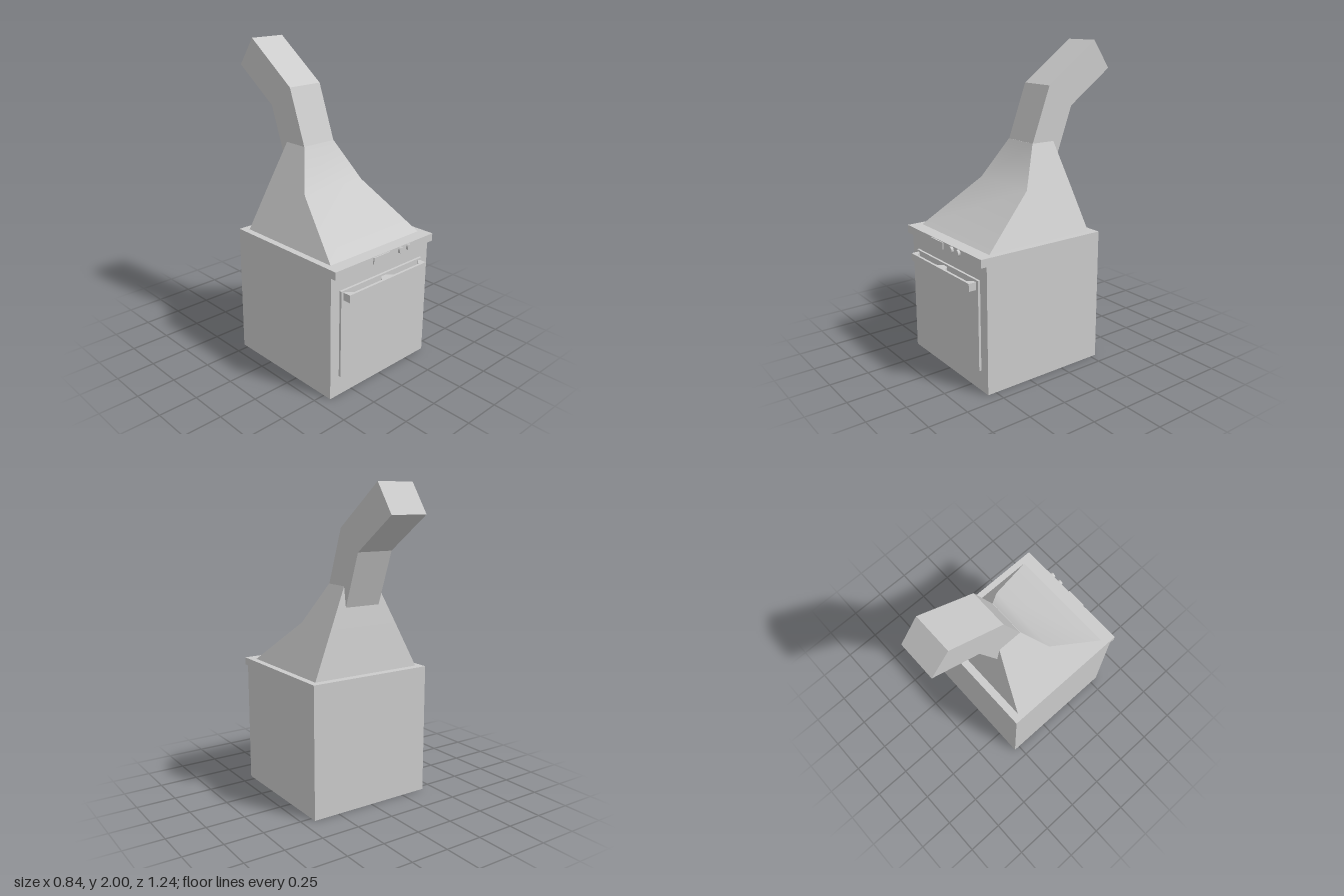
import * as THREE from 'three';
import { mergeVertices } from 'three/addons/utils/BufferGeometryUtils.js';

const grey = new THREE.MeshStandardMaterial({ color: 0xcccccc });

function add(parent, name, geometry) {
  const mesh = new THREE.Mesh(geometry, grey);
  mesh.name = name;
  parent.add(mesh);
  return mesh;
}

// Box given by its minimum and maximum on each axis
function block(parent, name, [x0, x1], [y0, y1], [z0, z1]) {
  const mesh = add(parent, name, new THREE.BoxGeometry(x1 - x0, y1 - y0, z1 - z0));
  mesh.position.set((x0 + x1) / 2, (y0 + y1) / 2, (z0 + z1) / 2);
  return mesh;
}

// Extrude a [z, y] side profile across the width
function sideExtrude(points, width) {
  const shape = new THREE.Shape(points.map(([z, y]) => new THREE.Vector2(-z, y)));
  const geo = new THREE.ExtrudeGeometry(shape, { depth: width, bevelEnabled: false });
  return geo.translate(0, 0, -width / 2).rotateY(Math.PI / 2);
}

// Quads from corner lists, counter-clockwise seen from outside
function quads(list) {
  const pos = list.flatMap(([a, b, c, d]) => [a, b, c, a, c, d].flat());
  const geo = new THREE.BufferGeometry();
  geo.setAttribute('position', new THREE.Float32BufferAttribute(pos, 3));
  return geo;
}

export function createModel() {
  const model = new THREE.Group();
  model.name = 'ovenWithHood';

  // Oven body with a top that overhangs the front
  const body = [[0.555, 0], [0.555, 0.795], [0.592, 0.795], [0.592, 0.845], [-0.29, 0.845], [-0.29, 0]];
  add(model, 'ovenBody', sideExtrude(body, 0.844));
  block(model, 'ovenDoor', [-0.353, 0.353], [0.13, 0.695], [0.55, 0.57]);

  // Door handle: bar with two end posts and a flared middle post
  const half = [[0.017, 0.568], [0.052, 0.604], [0.284, 0.604], [0.32, 0.568], [0.335, 0.568], [0.335, 0.62]];
  const mirrored = half.map(([x, z]) => [-x, z]).reverse();
  const handleShape = new THREE.Shape([...half, ...mirrored].map(([x, z]) => new THREE.Vector2(x, -z)));
  const handle = add(model, 'doorHandle',
    new THREE.ExtrudeGeometry(handleShape, { depth: 0.048, bevelEnabled: false }).rotateX(-Math.PI / 2));
  handle.position.y = 0.635;

  // Control panel
  block(model, 'display', [-0.118, 0.022], [0.8, 0.842], [0.585, 0.6]);
  for (const x of [0.117, 0.19]) {
    const knob = add(model, 'knob', new THREE.CylinderGeometry(0.02, 0.02, 0.022, 24).rotateX(Math.PI / 2));
    knob.position.set(x, 0.823, 0.597);
  }

  // Hood: three rectangular rings [half width, y, back z, front z]
  const rings = [[0.38, 0.845, -0.24, 0.508], [0.243, 1.135, -0.2, 0.137], [0.123, 1.388, -0.163, 0.002]]
    .map(([x, y, b, f]) => [[-x, y, f], [x, y, f], [x, y, b], [-x, y, b]]);
  const wall = (i) => [0, 1].map((k) => {
    const j = (i + 1) % 4;
    return [rings[k][i], rings[k][j], rings[k + 1][j], rings[k + 1][i]];
  });
  const hood = new THREE.Group();
  hood.name = 'hood';
  model.add(hood);
  const front = mergeVertices(quads(wall(0)));
  front.computeVertexNormals();
  add(hood, 'hoodFront', front);
  const sides = quads([...wall(1), ...wall(2), ...wall(3), rings[2]]);
  sides.computeVertexNormals();
  add(hood, 'hoodSides', sides);

  // Bent square duct leaving through the back of the hood
  const duct = [[0, 1.388], [-0.128, 1.735], [-0.49, 2], [-0.617, 1.82], [-0.306, 1.6], [-0.178, 1.25]];
  add(model, 'duct', sideExtrude(duct, 0.246));

  return model;
}
